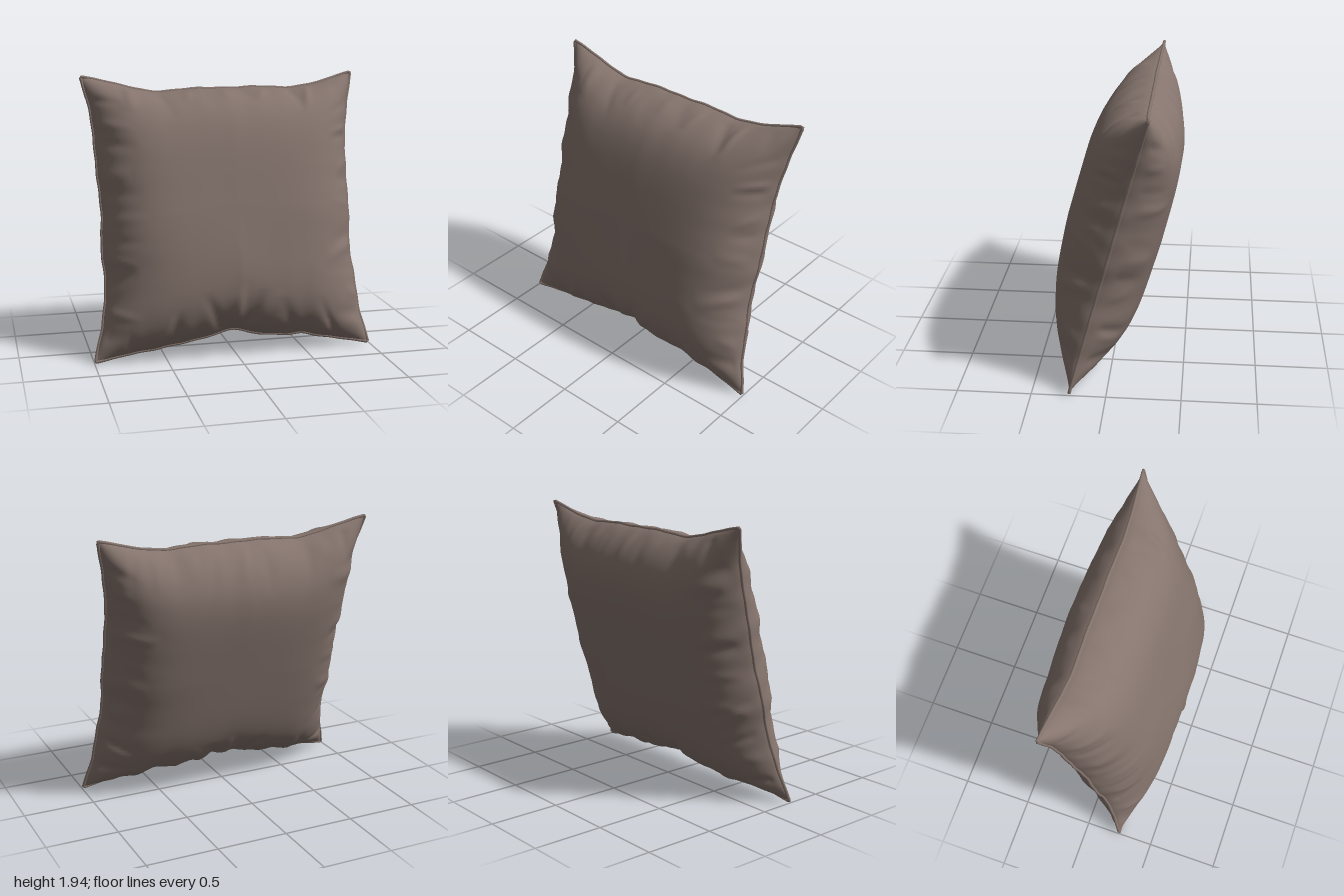
import * as THREE from 'three';

const HALF = 0.99, DEPTH = 0.335;

// Inward pull of each edge, sampled evenly from corner to corner
const spline = (values) => {
  const curve = new THREE.SplineCurve(values.map((v, i) => new THREE.Vector2(i, v)));
  return (t) => curve.getPoint(THREE.MathUtils.clamp((t + 1) / 2, 0, 1)).y;
};
const inset = {
  left: spline([0, 0.06, 0.095, 0.085, 0.095, 0.085, 0.07, 0.055, 0]),
  right: spline([0, 0.055, 0.078, 0.1, 0.085, 0.09, 0.08, 0.05, 0]),
  top: spline([0, 0.055, 0.115, 0.1, 0.1, 0.095, 0.105, 0.07, 0]),
  bottom: spline([0, 0.02, 0.04, 0.055, 0.075, 0.09, 0.11, 0.14, 0.165, 0.125, 0.11, 0.1, 0.1, 0.07, 0.05, 0.025, 0]),
};

// Small ripple along the seam, fading out at the corners
const ripple = (t, k) => 0.004 * Math.sin(t * 23 + k) * Math.sin(t * 9 + 2 * k) * (1 - t ** 4);

// Flat outline: maps the unit square onto the pulled-in cushion shape
function outline(u, v) {
  const side = (a, b, t, s, k) => THREE.MathUtils.lerp(
    -HALF + a(t) + ripple(t, k), HALF - b(t) + ripple(t, k + 3), (s + 1) / 2);
  return [
    side(inset.left, inset.right, v, u, 1),
    side(inset.bottom, inset.top, u, v, 2),
  ];
}

function seeded(seed) {
  return () => {
    seed = (seed * 16807) % 2147483647;
    return seed / 2147483647;
  };
}

// Folds running inward from the four edges: position, slant, reach, width, height
function makeFolds(seed) {
  const rnd = seeded(seed), folds = [];
  for (let edge = 0; edge < 4; edge++) {
    for (let i = 0; i < 11; i++) {
      folds.push({
        edge,
        at: -0.78 + 0.156 * (i + 0.7 * (rnd() - 0.5)),
        slant: 0.9 * (rnd() - 0.5),
        reach: 0.14 + 0.2 * rnd(),
        width: 0.025 + 0.03 * rnd(),
        height: (i % 2 ? 1 : -1) * (0.006 + 0.012 * rnd()),
      });
    }
  }
  // Gathered creases at the middle of the bottom edge
  [[-0.1, -0.5, -0.024], [-0.03, 0.1, 0.022], [0.04, 0.35, -0.026], [0.13, 0.5, 0.016]].forEach(
    ([at, slant, height]) => folds.push({ edge: 3, at, slant, reach: 0.36, width: 0.035, height }));
  return folds;
}

function foldHeight(folds, u, v) {
  // distance from each edge and position along it
  const edges = [[1 + u, v], [1 - u, v], [1 - v, u], [1 + v, u]];
  let sum = 0;
  for (const f of folds) {
    const [d, t] = edges[f.edge];
    if (d > f.reach) continue;
    const across = (t - f.at - f.slant * d) / f.width;
    const along = Math.sin(Math.PI * Math.sqrt(d / f.reach));
    sum += f.height * along * Math.exp(-across * across);
  }
  return sum;
}

// Puffed height of one face above the seam plane
function puff(u, v, folds, isFront) {
  const g = (t) => Math.max(0, 1 - Math.abs(t) ** 5) ** 0.72;
  let h = DEPTH * g(u) * g(v);
  h *= 1 - 0.1 * Math.abs(u * v);
  if (isFront) h *= 1 - 0.16 * Math.abs(u) * THREE.MathUtils.smoothstep(-v, 0, 0.7);
  const e = Math.min(1 - Math.abs(u), 1 - Math.abs(v));
  return h + foldHeight(folds, u, v) * THREE.MathUtils.smoothstep(e, 0, 0.06);
}

function makeFace(sign, seed) {
  const geo = new THREE.PlaneGeometry(2, 2, 120, 120);
  if (sign < 0) geo.rotateY(Math.PI);
  const pos = geo.attributes.position, folds = makeFolds(seed);
  // pack the grid closer toward the edges
  const ease = (t) => 0.35 * t + 0.65 * Math.sin(t * Math.PI / 2);
  for (let i = 0; i < pos.count; i++) {
    const u = THREE.MathUtils.clamp(ease(pos.getX(i)), -1, 1);
    const v = THREE.MathUtils.clamp(ease(pos.getY(i)), -1, 1);
    const [x, y] = outline(u, v);
    pos.setXYZ(i, x, y, sign * puff(u, v, folds, sign > 0));
  }
  geo.computeVertexNormals();
  return geo;
}

// Thin rolled seam following the whole outline
function makeSeam() {
  const pts = [], n = 60;
  const corners = [[-1, -1], [1, -1], [1, 1], [-1, 1]];
  corners.forEach(([u0, v0], c) => {
    const [u1, v1] = corners[(c + 1) % 4];
    for (let i = 0; i < n; i++) {
      const t = i / n;
      const [x, y] = outline(u0 + (u1 - u0) * t, v0 + (v1 - v0) * t);
      pts.push(new THREE.Vector3(x, y, 0));
    }
  });
  return new THREE.TubeGeometry(new THREE.CatmullRomCurve3(pts, true), 480, 0.011, 8, true);
}

export function createModel() {
  const fabric = new THREE.MeshStandardMaterial({ color: 0x85746d });
  fabric.name = 'taupe fabric';

  const cushion = new THREE.Group();
  cushion.name = 'cushion';
  const add = (name, geo) => {
    const mesh = new THREE.Mesh(geo, fabric);
    mesh.name = name;
    cushion.add(mesh);
  };
  add('frontPanel', makeFace(1, 1234));
  add('backPanel', makeFace(-1, 9871));
  add('seam', makeSeam());

  // Leaning back, resting on the bottom corners
  cushion.rotation.x = -Math.PI / 12;
  cushion.position.set(0, 0.97, -0.01);

  const model = new THREE.Group();
  model.name = 'throwCushion';
  model.add(cushion);
  return model;
}
